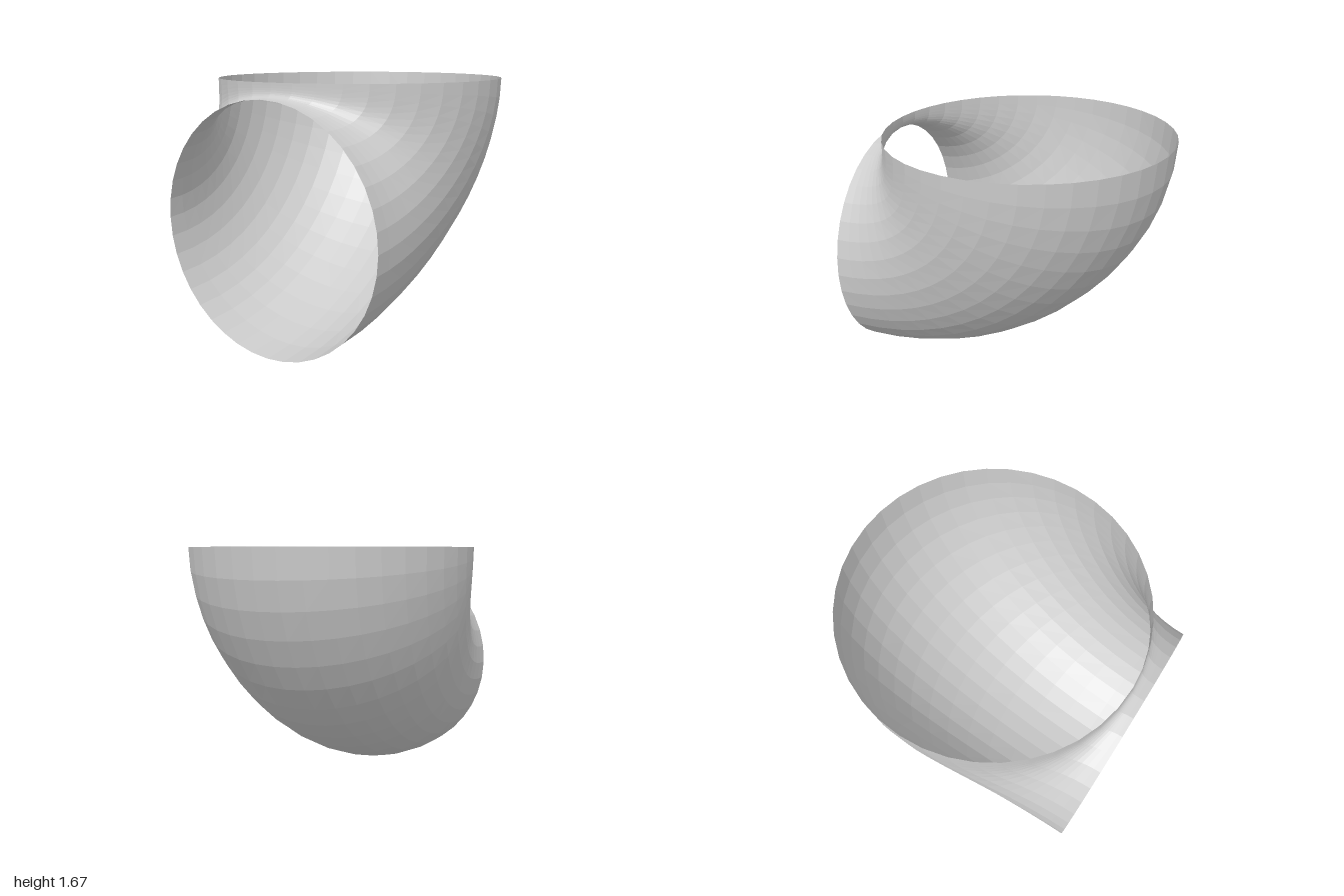
import * as THREE from 'three';

// Open elbow duct: a round mouth facing front flows into a wider round mouth facing up.
const FRONT = { r: 0.79, y: 0.79, z: 1 };
const TOP = { r: 0.953, y: 1.672, z: -0.047 };
const AROUND = 40, ALONG = 14;

// One lengthwise curve of the elbow, leaving the front mouth along -z and reaching the top mouth along +y
function strand(a) {
  const c = Math.cos(a), s = Math.sin(a);
  const start = new THREE.Vector3(FRONT.r * c, FRONT.y + FRONT.r * s, FRONT.z);
  const end = new THREE.Vector3(TOP.r * c, TOP.y, TOP.z + TOP.r * s);
  const k = 0.525 + 0.38 * Math.max(0, s) ** 2; // the bend sharpens towards the inner corner
  const h1 = start.clone().setZ(start.z - k * (start.z - end.z));
  const h2 = end.clone().setY(end.y - k * (end.y - start.y));
  return new THREE.CubicBezierCurve3(start, h1, h2, end);
}

function elbowGeometry() {
  const pos = [], index = [];
  for (let i = 0; i < AROUND; i++) {
    const curve = strand((i / AROUND) * Math.PI * 2);
    for (let j = 0; j <= ALONG; j++) pos.push(...curve.getPoint(j / ALONG).toArray());
  }
  const id = (i, j) => (i % AROUND) * (ALONG + 1) + j;
  for (let i = 0; i < AROUND; i++) {
    for (let j = 0; j < ALONG; j++) {
      const a = id(i, j), b = id(i + 1, j), c = id(i + 1, j + 1), d = id(i, j + 1);
      index.push(a, d, b, b, d, c);
    }
  }
  const g = new THREE.BufferGeometry();
  g.setAttribute('position', new THREE.Float32BufferAttribute(pos, 3));
  g.setIndex(index);
  g.computeVertexNormals();
  return g;
}

export function createModel() {
  const group = new THREE.Group();
  group.name = 'elbowDuct';
  const material = new THREE.MeshStandardMaterial({
    color: 0xcccccc, flatShading: true, side: THREE.DoubleSide,
  });
  const shell = new THREE.Mesh(elbowGeometry(), material);
  shell.name = 'elbowShell';
  group.add(shell);
  return group;
}
